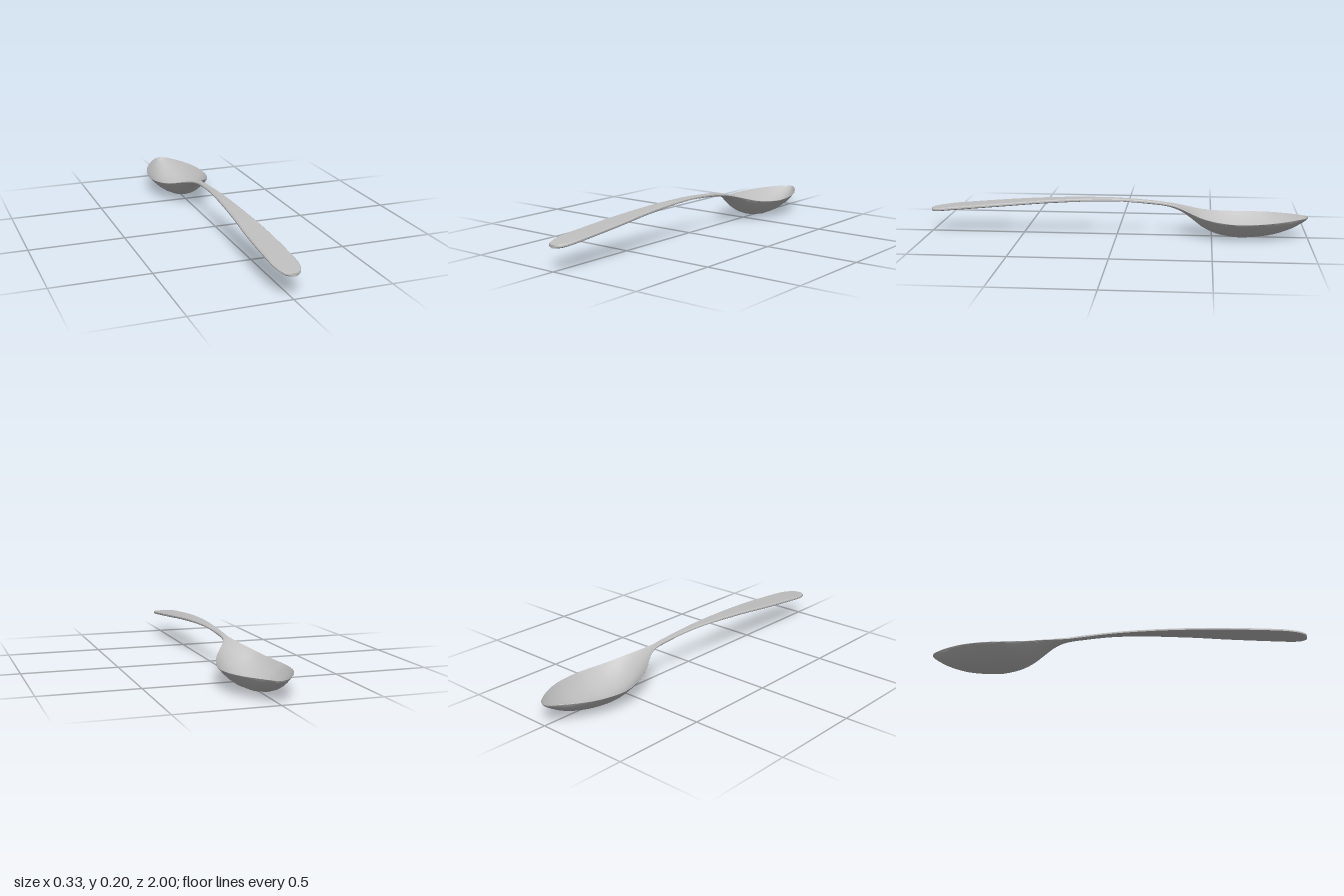
import * as THREE from 'three';
import { toCreasedNormals } from 'three/addons/utils/BufferGeometryUtils.js';

// Stations along the spoon: z, half width, rim height, top centre height, underside height
const STATIONS = [
  [1, 0.012, 0.127, 0.127, 0.11],
  [0.99, 0.032, 0.129, 0.129, 0.109],
  [0.97, 0.046, 0.131, 0.131, 0.111],
  [0.93, 0.058, 0.136, 0.136, 0.116],
  [0.85, 0.064, 0.145, 0.145, 0.125],
  [0.6, 0.06, 0.167, 0.167, 0.148],
  [0.4, 0.047, 0.183, 0.183, 0.165],
  [0.2, 0.034, 0.193, 0.193, 0.177],
  [0, 0.022, 0.195, 0.195, 0.18],
  [-0.18, 0.016, 0.185, 0.185, 0.168],
  [-0.25, 0.018, 0.177, 0.176, 0.159],
  [-0.3, 0.03, 0.168, 0.164, 0.147],
  [-0.35, 0.055, 0.153, 0.143, 0.125],
  [-0.4, 0.088, 0.135, 0.106, 0.09],
  [-0.45, 0.115, 0.12, 0.066, 0.052],
  [-0.52, 0.142, 0.108, 0.032, 0.019],
  [-0.6, 0.161, 0.102, 0.014, 0.003],
  [-0.66, 0.165, 0.101, 0.01, 0],
  [-0.74, 0.156, 0.103, 0.015, 0.006],
  [-0.82, 0.134, 0.106, 0.029, 0.019],
  [-0.9, 0.095, 0.109, 0.055, 0.045],
  [-0.95, 0.062, 0.111, 0.078, 0.07],
  [-0.985, 0.033, 0.112, 0.097, 0.092],
  [-1, 0.006, 0.112, 0.111, 0.107],
];

const ROWS = 92; // lengthwise divisions
const HALF = 12; // divisions across each face

// Closed cross-section: over the top from left to right, then back along the underside
function section(w, rim, top, bottom, z) {
  const edge = 0.004 + 0.013 * THREE.MathUtils.smoothstep(z, -0.45, -0.2);
  const bevel = Math.min(edge * 0.35, w * 0.3);
  const ring = [];
  const across = (i) => Math.sin((i / HALF - 0.5) * Math.PI);
  for (let i = 0; i <= HALF; i++) {
    const u = across(i);
    ring.push([-u * (w - bevel), top + (rim - top) * Math.abs(u) ** 2.1]);
  }
  ring.push([-w, rim - edge * 0.3], [-w, rim - edge * 0.7]);
  const low = Math.max(rim - edge, bottom);
  for (let i = HALF; i >= 0; i--) {
    const u = across(i);
    ring.push([-u * (w - bevel), bottom + (low - bottom) * Math.abs(u) ** 2.1]);
  }
  ring.push([w, rim - edge * 0.7], [w, rim - edge * 0.3]);
  return ring;
}

function spoonGeometry() {
  const rim = new THREE.CatmullRomCurve3(
    STATIONS.map(([z, w, r]) => new THREE.Vector3(w, r, z)), false, 'catmullrom');
  const keel = new THREE.CatmullRomCurve3(
    STATIONS.map(([z, , , t, b]) => new THREE.Vector3(t, b, z)), false, 'catmullrom');
  const positions = [];
  const index = [];
  let n = 0;
  for (let j = 0; j <= ROWS; j++) {
    const a = rim.getPoint(j / ROWS);
    const b = keel.getPoint(j / ROWS);
    const ring = section(a.x, a.y, b.x, b.y, a.z);
    n = ring.length;
    ring.forEach(([x, y]) => positions.push(x, y, a.z));
  }
  for (let j = 0; j < ROWS; j++) {
    for (let i = 0; i < n; i++) {
      const a = j * n + i;
      const b = j * n + ((i + 1) % n);
      index.push(a, b, a + n, b, b + n, a + n);
    }
  }
  // Close both tips, joining the top face to the underside
  const last = ROWS * n;
  for (let i = 1; i < n - 1; i++) {
    index.push(0, i + 1, i);
    index.push(last, last + i, last + i + 1);
  }
  const geometry = new THREE.BufferGeometry();
  geometry.setAttribute('position', new THREE.Float32BufferAttribute(positions, 3));
  geometry.setIndex(index);
  // Orient the faces outward by the sign of the enclosed volume
  const p = [0, 1, 2].map(() => new THREE.Vector3());
  let volume = 0;
  for (let i = 0; i < index.length; i += 3) {
    p.forEach((v, k) => v.fromArray(positions, index[i + k] * 3));
    volume += p[0].dot(p[1].clone().cross(p[2]));
  }
  if (volume < 0) geometry.setIndex(index.reverse());
  return toCreasedNormals(geometry, Math.PI / 4.5);
}

export function createModel() {
  const group = new THREE.Group();
  group.name = 'spoon';
  const metal = new THREE.MeshStandardMaterial({ color: 0xbfbfbf });
  metal.name = 'brushed metal';

  // Handle and bowl are one continuous forged piece
  const body = new THREE.Mesh(spoonGeometry(), metal);
  body.name = 'handleAndBowl';
  group.add(body);
  return group;
}
